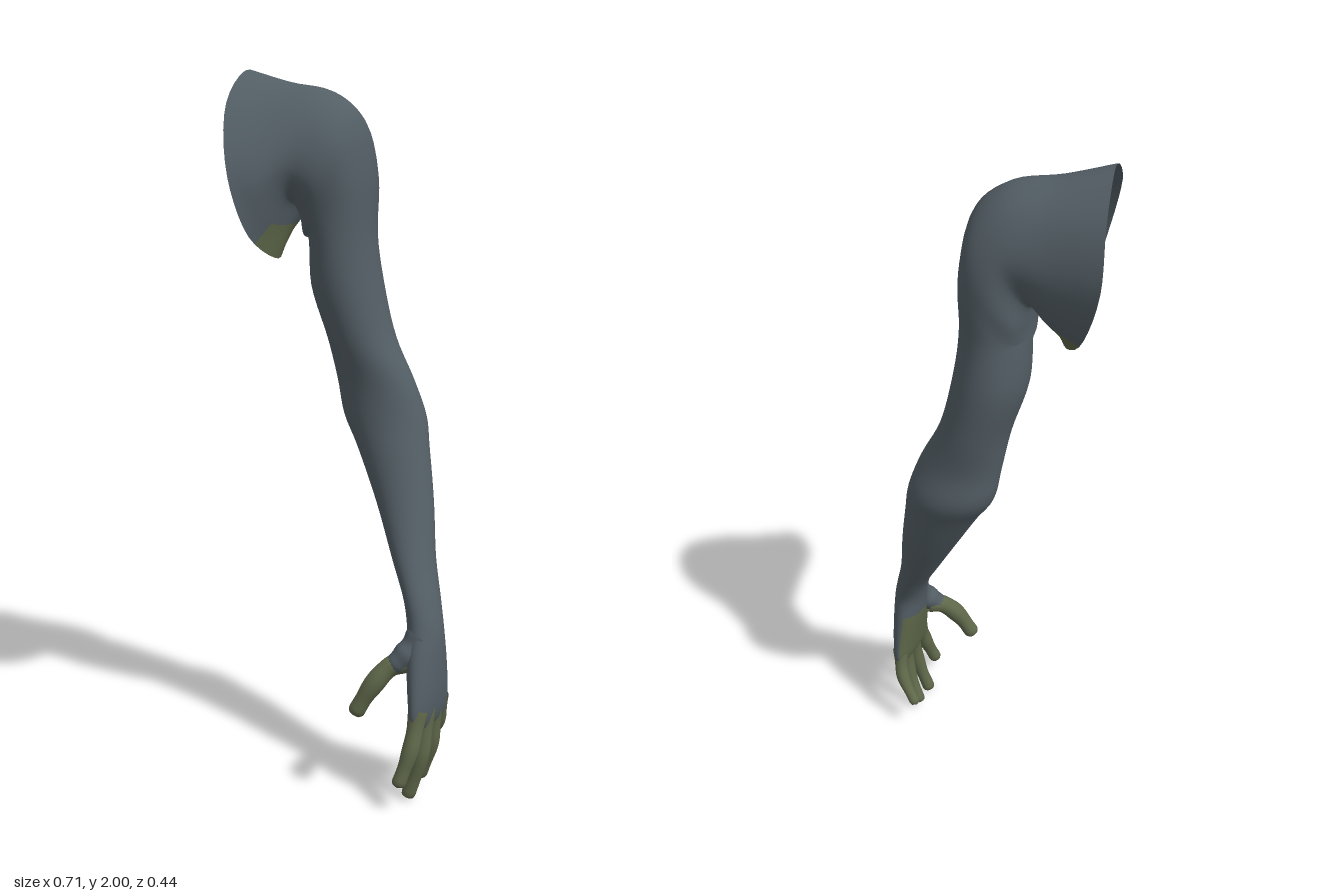
import * as THREE from 'three';

const BLUE = new THREE.MeshStandardMaterial({ color: 0x535e65, roughness: 0.9, side: THREE.DoubleSide });
const GREEN = new THREE.MeshStandardMaterial({ color: 0x5f684a, roughness: 0.9, side: THREE.DoubleSide });
const COLS = 40, STEPS = 5;
const V = (p) => new THREE.Vector3(...p);

// Shoulder rings, eight points each: top, front, underside, back
const shoulder = [
  [[-.33, 2, -.05], [-.30, 1.90, .12], [-.24, 1.70, .21], [-.20, 1.54, .17],
    [-.19, 1.475, .03], [-.28, 1.55, -.12], [-.355, 1.75, -.21], [-.35, 1.91, -.17]],
  [[-.20, 1.962, -.06], [-.20, 1.88, .08], [-.185, 1.69, .175], [-.17, 1.585, .12],
    [-.168, 1.57, 0], [-.20, 1.60, -.13], [-.22, 1.75, -.20], [-.21, 1.90, -.16]],
  [[-.075, 1.935, -.07], [-.09, 1.87, .04], [-.115, 1.73, .10], [-.14, 1.645, .06],
    [-.148, 1.625, -.04], [-.15, 1.65, -.14], [-.11, 1.77, -.205], [-.09, 1.89, -.16]],
  [[.005, 1.87, -.08], [-.015, 1.80, .03], [-.06, 1.68, .07], [-.12, 1.605, .035],
    [-.143, 1.585, -.06], [-.13, 1.60, -.17], [-.07, 1.69, -.216], [-.015, 1.81, -.18]],
  [[.038, 1.73, -.09], [.012, 1.69, .01], [-.055, 1.61, .04], [-.118, 1.55, .015],
    [-.143, 1.53, -.08], [-.118, 1.55, -.17], [-.055, 1.62, -.212], [.012, 1.69, -.185]],
];

// Level rings down the arm and hand: y, x from/to, z from/to
const levels = [
  [1.54, -.142, .043, -.207, .03], [1.40, -.138, .062, -.215, .02],
  [1.25, -.095, .10, -.21, -.005], [1.13, -.072, .16, -.203, -.028],
  [1.03, -.052, .196, -.215, -.025], [.95, -.002, .215, -.19, -.012],
  [.80, .085, .25, -.14, .022], [.65, .17, .285, -.075, .072],
  [.55, .225, .318, -.032, .104], [.48, .245, .338, -.010, .122],
  [.40, .255, .346, -.018, .152], [.30, .272, .348, -.026, .176],
  [.245, .283, .342, -.026, .178], [.22, .295, .333, -.012, .165], [.212, .31, .318, .06, .09],
];

function ringPoints(ring) {
  if (ring.length === 8) {
    const loop = new THREE.CatmullRomCurve3(ring.map(V), true);
    return Array.from({ length: COLS }, (_, j) => loop.getPoint(j / COLS));
  }
  const [y, x0, x1, z0, z1] = ring;
  return Array.from({ length: COLS }, (_, j) => {
    const a = (j / COLS) * Math.PI * 2;
    return new THREE.Vector3((x0 + x1 + (x1 - x0) * Math.cos(a)) / 2, y, (z0 + z1 + (z1 - z0) * Math.sin(a)) / 2);
  });
}

// Smooth skin through all rings, divided into colour areas that share normals
function buildSkin(group) {
  const rings = [...shoulder, ...levels].map(ringPoints);
  const rows = (rings.length - 1) * STEPS;
  const columns = Array.from({ length: COLS }, (_, j) => new THREE.CatmullRomCurve3(rings.map((r) => r[j])));
  const positions = [], all = [];
  const parts = { armSkin: [], armpitPatch: [], palm: [] };
  for (let i = 0; i <= rows; i++) {
    for (const column of columns) positions.push(...column.getPoint(i / rows).toArray());
  }
  const handRow = (shoulder.length + 9.6) * STEPS;
  for (let i = 0; i < rows; i++) {
    for (let j = 0; j < COLS; j++) {
      const a = i * COLS + j, b = i * COLS + (j + 1) % COLS;
      const quad = [a, b, a + COLS, b, b + COLS, a + COLS];
      const turn = (j + 0.5) / COLS;
      let part = 'armSkin';
      if (i < 5 && turn > 0.4 && turn < 0.62) part = 'armpitPatch';
      if (i > handRow && turn > 0.34 && turn < 0.72) part = 'palm';
      parts[part].push(...quad);
      all.push(...quad);
    }
  }
  const whole = new THREE.BufferGeometry();
  whole.setAttribute('position', new THREE.Float32BufferAttribute(positions, 3));
  whole.setIndex(all);
  whole.computeVertexNormals();
  for (const [name, index] of Object.entries(parts)) {
    const geometry = whole.clone();
    geometry.setIndex(index);
    const mesh = new THREE.Mesh(geometry, name === 'armSkin' ? BLUE : GREEN);
    mesh.name = name;
    group.add(mesh);
  }
}

// Tapered tube with a rounded tip
function finger(name, points, r0, r1, material) {
  const curve = new THREE.CatmullRomCurve3(points.map(V));
  const rows = 28, sides = 14;
  const geometry = new THREE.TubeGeometry(curve, rows, 1, sides);
  const pos = geometry.attributes.position;
  const tip = r1 / curve.getLength(), v = new THREE.Vector3();
  for (let i = 0; i <= rows; i++) {
    const t = i / rows, centre = curve.getPointAt(t);
    const round = Math.sqrt(Math.max(0, 1 - Math.max(0, (t - 1 + tip) / tip) ** 2));
    const knuckle = 1 + 0.06 * Math.cos(t * Math.PI * 4);
    const radius = THREE.MathUtils.lerp(r0, r1, t) * round * knuckle;
    for (let j = 0; j <= sides; j++) {
      const k = i * (sides + 1) + j;
      v.fromBufferAttribute(pos, k).sub(centre).multiplyScalar(radius).add(centre);
      pos.setXYZ(k, v.x, v.y, v.z);
    }
  }
  geometry.computeVertexNormals();
  const mesh = new THREE.Mesh(geometry, material);
  mesh.name = name;
  return mesh;
}

export function createModel() {
  const group = new THREE.Group();
  group.name = 'arm';
  buildSkin(group);

  // Fingers and thumb
  group.add(
    finger('indexFinger', [[.315, .27, .145], [.31, .17, .18], [.285, .065, .212]], .026, .019, GREEN),
    finger('middleFinger', [[.318, .27, .10], [.312, .13, .12], [.275, 0, .13]], .026, .019, GREEN),
    finger('ringFinger', [[.318, .27, .05], [.308, .14, .047], [.268, .025, .037]], .025, .018, GREEN),
    finger('littleFinger', [[.315, .27, .005], [.297, .18, -.022], [.24, .1, -.05]], .023, .016, GREEN),
    finger('thumbBase', [[.29, .46, .09], [.265, .415, .115], [.225, .372, .142]], .038, .032, BLUE),
    finger('thumb', [[.262, .395, .115], [.225, .378, .14], [.185, .325, .17], [.138, .238, .19]], .031, .023, GREEN),
  );
  return group;
}
